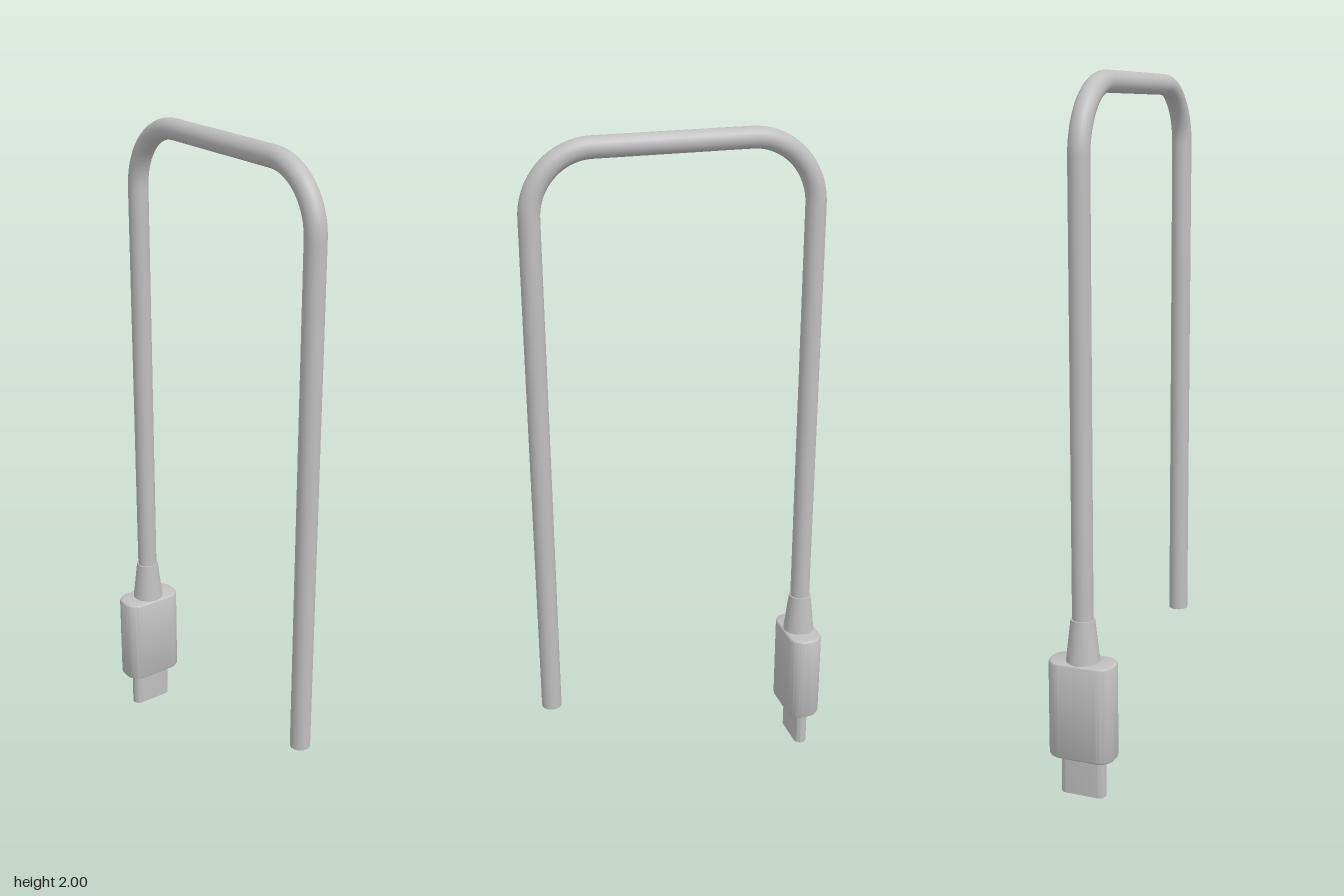
import * as THREE from 'three';
import { toCreasedNormals } from 'three/addons/utils/BufferGeometryUtils.js';

const R = 0.03;          // cable radius
const Z_FREE = 0.419;    // free leg
const Z_PLUG = -0.396;   // leg that carries the plug
const Y_TOP = 1.97;

// Rounded rectangle outline, w x d, corner radius r
function outline(w, d, r, Type = THREE.Shape) {
  const s = new Type(), x = w / 2 - r, y = d / 2 - r;
  s.absarc(x, y, r, 0, Math.PI / 2);
  s.absarc(-x, y, r, Math.PI / 2, Math.PI);
  s.absarc(-x, -y, r, Math.PI, Math.PI * 1.5);
  s.absarc(x, -y, r, Math.PI * 1.5, Math.PI * 2);
  s.closePath();
  return s;
}

// Upright prism from y0 to y1 with optional rounded rims
function prism(shape, y0, y1, bevel = 0) {
  const g = new THREE.ExtrudeGeometry(shape, {
    depth: y1 - y0 - 2 * bevel, curveSegments: 10,
    bevelEnabled: bevel > 0, bevelThickness: bevel, bevelSize: bevel,
    bevelOffset: -bevel, bevelSegments: 4,
  });
  g.rotateX(-Math.PI / 2).translate(0, y0 + bevel, Z_PLUG);
  return toCreasedNormals(g, 0.6);
}

export function createModel() {
  const model = new THREE.Group();
  model.name = 'chargingCable';
  const grey = new THREE.MeshStandardMaterial({ color: 0xbfbfbf });
  grey.name = 'lightGrey';
  const add = (name, geometry) => {
    const mesh = new THREE.Mesh(geometry, grey);
    mesh.name = name;
    model.add(mesh);
    return mesh;
  };

  // Cable: two straight legs joined by an arch
  const v = (y, z) => new THREE.Vector3(0, y, z);
  const k = 0.4477, rf = 0.175, rb = 0.195;
  const path = new THREE.CurvePath();
  path.add(new THREE.LineCurve3(v(0.275, Z_FREE), v(Y_TOP - rf, Z_FREE)));
  path.add(new THREE.CubicBezierCurve3(
    v(Y_TOP - rf, Z_FREE), v(Y_TOP - rf * k, Z_FREE),
    v(Y_TOP, Z_FREE - rf * k), v(Y_TOP, Z_FREE - rf)));
  path.add(new THREE.LineCurve3(v(Y_TOP, Z_FREE - rf), v(Y_TOP, Z_PLUG + rb)));
  path.add(new THREE.CubicBezierCurve3(
    v(Y_TOP, Z_PLUG + rb), v(Y_TOP, Z_PLUG + rb * k),
    v(Y_TOP - rb * k, Z_PLUG), v(Y_TOP - rb, Z_PLUG)));
  path.add(new THREE.LineCurve3(v(Y_TOP - rb, Z_PLUG), v(0.45, Z_PLUG)));
  add('cable', new THREE.TubeGeometry(path, 240, R, 24, false));

  // Flat cut at the free end
  const end = add('cableEnd', new THREE.CircleGeometry(R, 24).rotateX(Math.PI / 2));
  end.position.set(0, 0.275, Z_FREE);

  // Tapered strain relief
  const relief = add('strainRelief', new THREE.CylinderGeometry(0.034, 0.049, 0.13, 32));
  relief.position.set(0, 0.46, Z_PLUG);

  // Plug housing
  add('plugHousing', prism(outline(0.196, 0.106, 0.045), 0.117, 0.403, 0.01));

  // Hollow metal shell, with its inner floor and contact tongue
  const shell = outline(0.134, 0.04, 0.0195);
  shell.holes.push(outline(0.118, 0.024, 0.0115, THREE.Path));
  add('connectorShell', prism(shell, 0, 0.125));
  add('contactTongue', prism(outline(0.09, 0.008, 0.003), 0.015, 0.125));

  return model;
}
